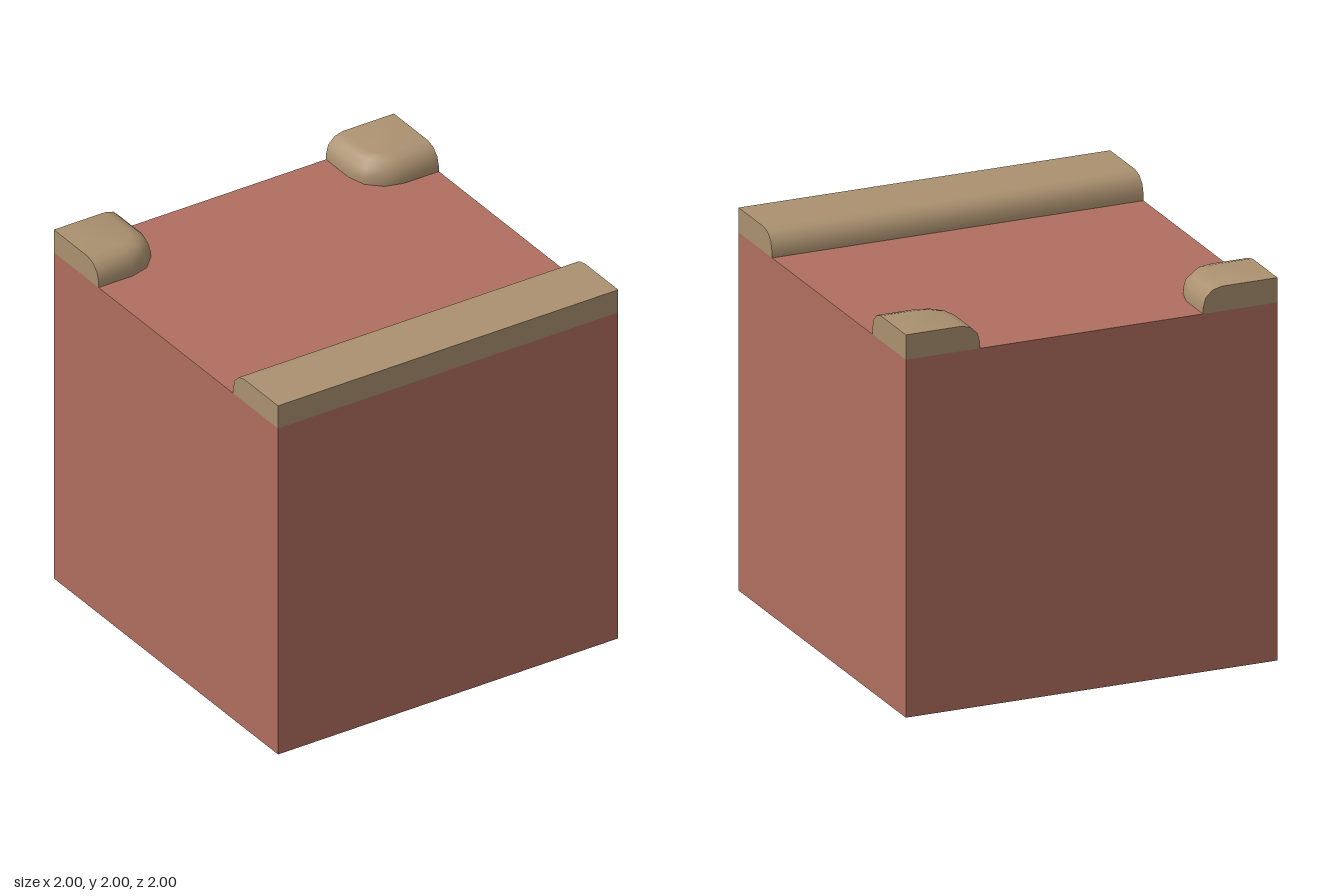
import * as THREE from 'three';
import { toCreasedNormals } from 'three/addons/utils/BufferGeometryUtils.js';

const BASE = 1.87, TOP = 2, WIDTH = 0.4, ROUND = 0.1, BEND = 0.2;
const CREASE = 0.7;

// Rounded edge of the trim, bottom to top: [inset from its foot, height]
const edge = [[0, BASE]];
for (let i = 0; i <= 3; i++) {
  const a = (i / 3) * Math.PI / 2;
  edge.push([ROUND * (1 - Math.cos(a)), TOP - ROUND + ROUND * Math.sin(a)]);
}

// Straight trim running the full width along the front
function stripGeometry() {
  const shape = new THREE.Shape([
    new THREE.Vector2(-1, BASE),
    ...edge.map(([inset, y]) => new THREE.Vector2(-1 + WIDTH - inset, y)),
    new THREE.Vector2(-1, TOP),
  ]);
  const g = new THREE.ExtrudeGeometry(shape, { depth: 2, bevelEnabled: false });
  g.rotateY(Math.PI / 2).translate(-1, 0, 0);
  return toCreasedNormals(g, CREASE);
}

// Corner trim: the rounded edge swept around a bent footprint
function cornerGeometry() {
  const stations = [[0, BEND, 90], [BEND, BEND, 90], [BEND, BEND, 60],
    [BEND, BEND, 30], [BEND, BEND, 0], [BEND, 0, 0]];
  const apex = [-1, TOP, -1], foot = [-1, BASE, -1];
  const rows = stations.map(([u, v, deg]) => {
    const a = THREE.MathUtils.degToRad(deg);
    const row = edge.map(([inset, y]) => {
      const r = WIDTH - BEND - inset;
      return [-1 + u + r * Math.cos(a), y, -1 + v + r * Math.sin(a)];
    });
    return [...row, apex];
  });
  const pos = [];
  const tri = (a, b, c) => pos.push(...a, ...b, ...c);
  const last = edge.length;
  for (let s = 0; s < rows.length - 1; s++) {
    const p = rows[s], q = rows[s + 1];
    for (let j = 0; j < last; j++) {
      tri(p[j], q[j], q[j + 1]);
      if (j < last - 1) tri(p[j], q[j + 1], p[j + 1]);
    }
  }
  // Flat outer ends
  const first = rows[0], end = rows[rows.length - 1];
  for (let j = 0; j < last; j++) {
    tri(foot, first[j], first[j + 1]);
    tri(foot, end[j + 1], end[j]);
  }
  const g = new THREE.BufferGeometry();
  g.setAttribute('position', new THREE.Float32BufferAttribute(pos, 3));
  return toCreasedNormals(g, CREASE);
}

export function createModel() {
  const red = new THREE.MeshStandardMaterial({ name: 'brick red', color: 0xb06e5f });
  const tan = new THREE.MeshStandardMaterial({ name: 'tan', color: 0xab9170 });
  const model = new THREE.Group();
  model.name = 'trimmedBlock';
  const add = (name, geometry, material) => {
    const mesh = new THREE.Mesh(geometry, material);
    mesh.name = name;
    model.add(mesh);
    return mesh;
  };

  // Solid block
  add('block', new THREE.BoxGeometry(2, BASE, 2).translate(0, BASE / 2, 0), red);

  // Trim on the top
  add('frontTrim', stripGeometry(), tan);
  const corner = cornerGeometry();
  add('backRightCornerTrim', corner, tan);
  add('backLeftCornerTrim', corner, tan).rotation.y = -Math.PI / 2;

  return model;
}
